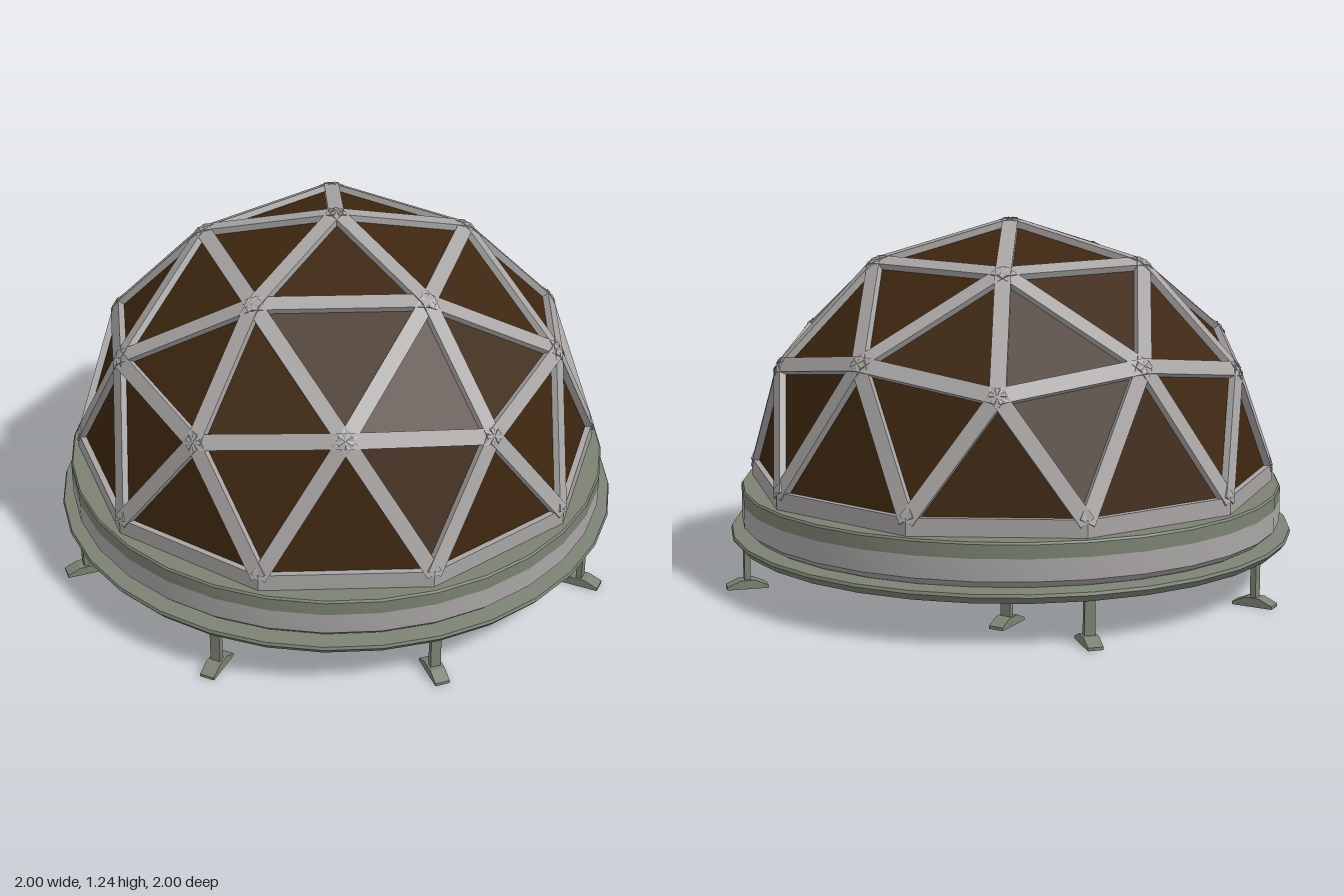
import * as THREE from 'three';
import { mergeGeometries, toCreasedNormals } from 'three/addons/utils/BufferGeometryUtils.js';

const R = 0.91, RY = 0.86, CY = 0.38; // dome radius, height, springing level

export function createModel() {
  const model = new THREE.Group();
  const grey = new THREE.MeshStandardMaterial({ color: 0xa9a5a5 });
  grey.name = 'lightGrey';
  const green = new THREE.MeshStandardMaterial({ color: 0x7c8274 });
  green.name = 'greyGreen';
  const brown = new THREE.MeshStandardMaterial({ color: 0x3d2610, side: THREE.DoubleSide });
  brown.name = 'darkBrown';

  const add = (name, geometry, material, parent = model) => {
    const mesh = new THREE.Mesh(geometry, material);
    mesh.name = name;
    parent.add(mesh);
    return mesh;
  };
  const ring = (points, sides, crease = 0.4) => toCreasedNormals(
    new THREE.LatheGeometry(points.map(([r, y]) => new THREE.Vector2(r, y)), sides), crease);

  // Dome nodes, relative to the dome centre: polar angle from the top, heading around it
  const node = (polar, heading) => {
    const p = THREE.MathUtils.degToRad(polar), h = THREE.MathUtils.degToRad(heading);
    return new THREE.Vector3(R * Math.sin(p) * Math.cos(h), RY * Math.cos(p), -R * Math.sin(p) * Math.sin(h));
  };
  const top = node(0, 0);
  const upper = [], middle = [], lower = [];
  for (let k = 0; k < 5; k++) upper.push(node(31.717, 72 * k));
  for (let j = 0; j < 10; j++) {
    middle.push(node(j % 2 ? 58.283 : 63.435, 36 * j));
    lower.push(node(90, 18 + 36 * j));
  }
  const u = k => upper[(k + 5) % 5], m = j => middle[(j + 10) % 10], l = j => lower[(j + 10) % 10];
  const triangles = [], edges = [];
  for (let k = 0; k < 5; k++) {
    triangles.push([top, u(k), u(k + 1)], [u(k), m(2 * k), m(2 * k + 1)],
      [u(k), m(2 * k - 1), m(2 * k)], [u(k), m(2 * k + 1), u(k + 1)]);
    edges.push([top, u(k)], [u(k), u(k + 1)]);
    for (let d = -1; d <= 1; d++) edges.push([u(k), m(2 * k + d)]);
  }
  for (let j = 0; j < 10; j++) {
    triangles.push([m(j), l(j - 1), l(j)], [m(j), l(j), m(j + 1)]);
    edges.push([m(j), m(j + 1)], [m(j), l(j)], [m(j), l(j - 1)]);
  }

  // Recessed triangular panels
  const panels = new THREE.BufferGeometry().setFromPoints(
    triangles.flat().map(v => v.clone().multiplyScalar(0.979)));
  panels.computeVertexNormals();
  add('domePanels', panels, brown).position.y = CY;

  // Flat bars along every dome edge
  const depth = 0.04;
  const bars = edges.map(([a, b]) => {
    const along = b.clone().sub(a), length = along.length();
    along.normalize();
    const mid = a.clone().add(b).multiplyScalar(0.5);
    const out = new THREE.Vector3(mid.x / R ** 2, mid.y / RY ** 2, mid.z / R ** 2);
    out.addScaledVector(along, -out.dot(along)).normalize();
    const side = new THREE.Vector3().crossVectors(along, out);
    const matrix = new THREE.Matrix4().makeBasis(along, out, side)
      .setPosition(mid.addScaledVector(out, -depth / 2));
    return new THREE.BoxGeometry(length, depth, 0.052).applyMatrix4(matrix);
  });
  add('domeStruts', mergeGeometries(bars), grey).position.y = CY;

  // Ten-sided band at the foot of the dome
  add('domeFootBand', ring([[0.87, 0.32], [0.91, 0.32], [0.91, 0.39], [0.875, 0.39], [0.87, 0.32]], 10), grey);

  // Round base
  add('baseTopRing', ring([[0.935, 0.28], [0.935, 0.325], [0.93, 0.332], [0.8, 0.332]], 32), green);
  add('baseWall', ring([[0.9, 0.18], [0.915, 0.188], [0.935, 0.208], [0.935, 0.28]], 32), grey);
  add('baseFlange', ring([[0.885, 0.16], [0.885, 0.145], [0.955, 0.145], [0.974, 0.168],
    [0.97, 0.178], [0.89, 0.184]], 32), green);
  const floor = new THREE.CircleGeometry(0.9, 32).rotateX(Math.PI / 2);
  add('floorUnderside', floor, grey).position.y = 0.155;

  // Legs with sloped feet; one stands further in
  const footShape = new THREE.Shape([[-0.07, 0], [0.07, 0], [0.07, 0.01], [0.025, 0.03],
    [-0.025, 0.03], [-0.07, 0.01]].map(([x, y]) => new THREE.Vector2(x, y)));
  const footGeometry = new THREE.ExtrudeGeometry(footShape, { depth: 0.05, bevelEnabled: false })
    .translate(0, 0, -0.025);
  const postGeometry = new THREE.BoxGeometry(0.02, 0.14, 0.035).translate(0, 0.09, 0);
  for (let i = 0; i < 8; i++) {
    const a = i * Math.PI / 4;
    const leg = new THREE.Group();
    leg.name = 'leg';
    leg.position.set(0.93 * Math.cos(a), 0, -0.93 * Math.sin(a));
    if (i === 1) leg.position.x = 0.19;
    leg.rotation.y = a;
    add('legPost', postGeometry, green, leg);
    add('legFoot', footGeometry, green, leg);
    model.add(leg);
  }
  return model;
}
